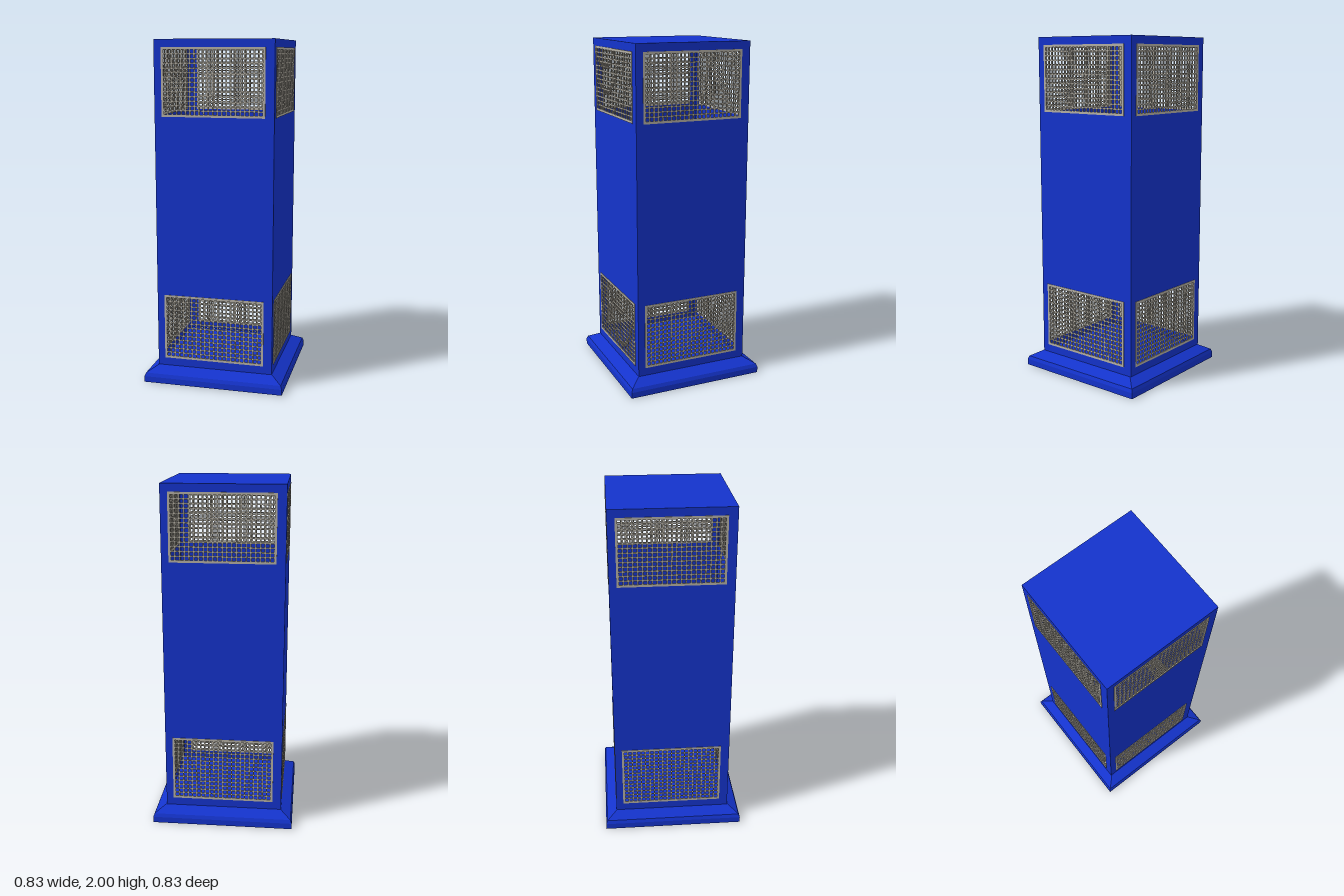
import * as THREE from 'three';
import { mergeGeometries } from 'three/addons/utils/BufferGeometryUtils.js';

const blue = new THREE.MeshStandardMaterial({ color: 0x1433cc, flatShading: true, side: THREE.DoubleSide });
const metal = new THREE.MeshStandardMaterial({ color: 0xb4afa4 });

const HALF = 0.344, BOTTOM = 0.09, TOP = 2;
const LEFT = -0.302, RIGHT = 0.293;             // window sides within each wall
const WINDOWS = [[0.137, 0.525], [1.57, 1.955]]; // sill and head heights

function bar(w, h, d, x, y) {
  return new THREE.BoxGeometry(w, h, d).translate(x, y, 0);
}

// Thin wall panel with two rectangular openings
function wallGeometry() {
  const shape = new THREE.Shape([
    new THREE.Vector2(-HALF, BOTTOM), new THREE.Vector2(HALF, BOTTOM),
    new THREE.Vector2(HALF, TOP), new THREE.Vector2(-HALF, TOP)
  ]);
  for (const [y0, y1] of WINDOWS) {
    shape.holes.push(new THREE.Path([
      new THREE.Vector2(LEFT, y0), new THREE.Vector2(LEFT, y1),
      new THREE.Vector2(RIGHT, y1), new THREE.Vector2(RIGHT, y0)
    ]));
  }
  return new THREE.ShapeGeometry(shape);
}

// Flat border around one opening
function frameGeometry(y0, y1) {
  const t = 0.014, d = 0.006, cx = (LEFT + RIGHT) / 2, cy = (y0 + y1) / 2;
  const w = RIGHT - LEFT, h = y1 - y0;
  return mergeGeometries([
    bar(w, t, d, cx, y0 + t / 2), bar(w, t, d, cx, y1 - t / 2),
    bar(t, h - 2 * t, d, LEFT + t / 2, cy), bar(t, h - 2 * t, d, RIGHT - t / 2, cy)
  ]);
}

// Crossed bars filling one opening
function meshGeometry(y0, y1) {
  const cols = 22, rows = 14, t = 0.008, d = 0.004, parts = [];
  const w = RIGHT - LEFT - 0.02, h = y1 - y0 - 0.02;
  const cx = (LEFT + RIGHT) / 2, cy = (y0 + y1) / 2;
  for (let i = 1; i < cols; i++) parts.push(bar(t, h, d, cx - w / 2 + w * i / cols, cy));
  for (let j = 1; j < rows; j++) parts.push(bar(w, t, d * 0.8, cx, cy - h / 2 + h * j / rows));
  return mergeGeometries(parts);
}

function add(parent, name, geometry, material) {
  const mesh = new THREE.Mesh(geometry, material);
  mesh.name = name;
  parent.add(mesh);
  return mesh;
}

export function createModel() {
  const model = new THREE.Group();
  model.name = 'ventilatedTower';
  const body = new THREE.Group();
  body.name = 'body';
  body.position.set(-0.003, 0, -0.003);
  model.add(body);

  // Square plinth with a sloped upper edge
  const profile = [[0, 0], [0.414, 0], [0.414, 0.035], [0.406, 0.055], [HALF, BOTTOM], [0, BOTTOM]]
    .map(([r, y]) => new THREE.Vector2(r * Math.SQRT2, y));
  const plinth = new THREE.LatheGeometry(profile, 4, Math.PI / 4);
  add(model, 'plinth', plinth, blue);

  // Roof panel
  const roof = add(body, 'roof', new THREE.PlaneGeometry(2 * HALF, 2 * HALF), blue);
  roof.rotation.x = -Math.PI / 2;
  roof.position.y = TOP;

  // Four equal sides, each with an upper and a lower grille
  const wall = wallGeometry();
  const frames = WINDOWS.map(([a, b]) => frameGeometry(a, b));
  const meshes = WINDOWS.map(([a, b]) => meshGeometry(a, b));
  ['front', 'left', 'back', 'right'].forEach((name, i) => {
    const side = new THREE.Group();
    side.name = name + 'Side';
    side.rotation.y = i * Math.PI / 2;
    body.add(side);
    add(side, name + 'Wall', wall, blue).position.z = HALF;
    ['Lower', 'Upper'].forEach((level, k) => {
      add(side, name + level + 'GrilleFrame', frames[k], metal).position.z = HALF;
      add(side, name + level + 'GrilleMesh', meshes[k], metal).position.z = HALF;
    });
  });
  return model;
}
